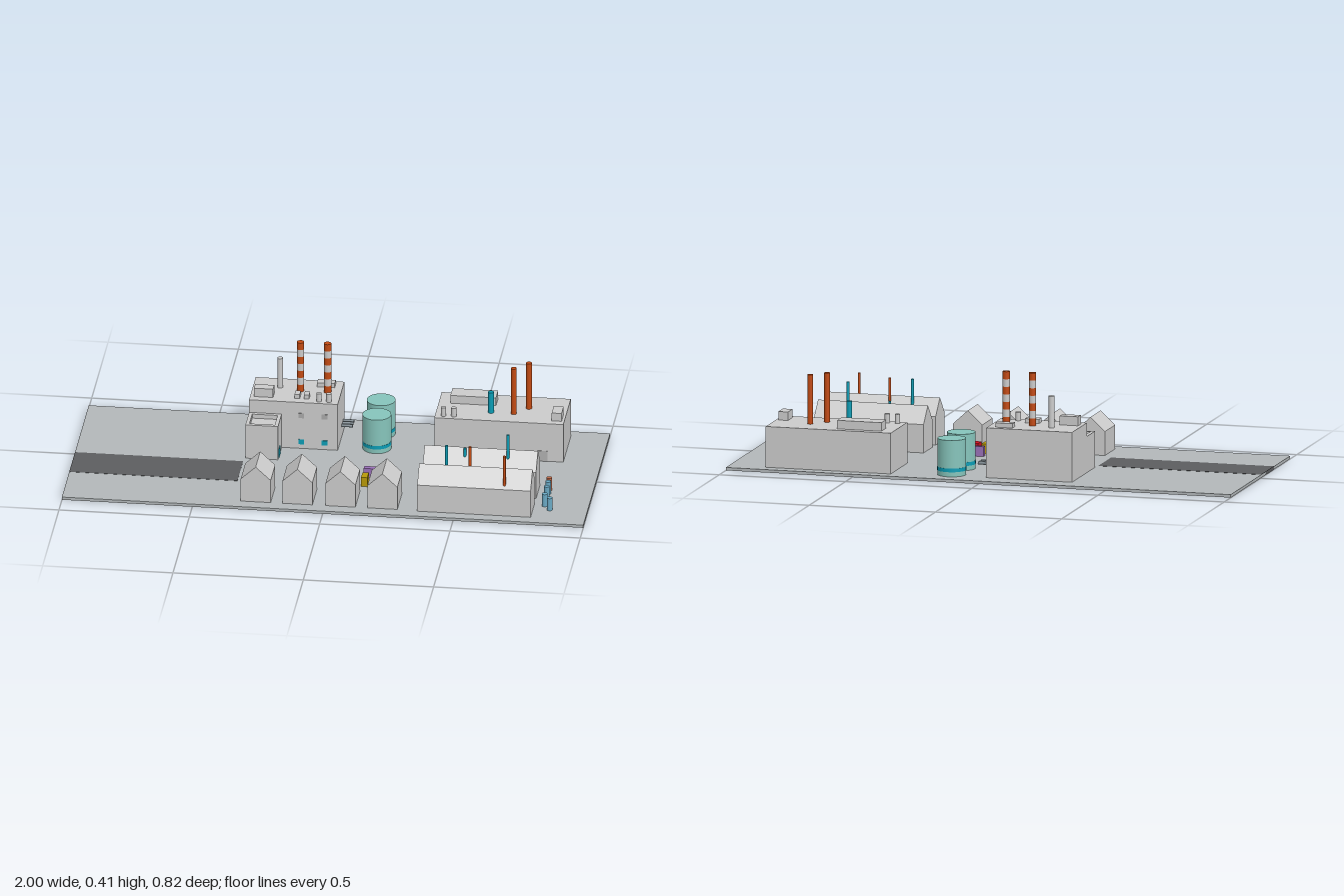
import * as THREE from 'three';

const GREY = 0xcccccc, TEAL = 0x0a9cb4, RUST = 0xc24a12, BLUE = 0x6aa9c4, TANK = 0x86c4bb;
const GROUND = 0.012;
const mats = new Map();
function mat(color) {
  if (!mats.has(color)) mats.set(color, new THREE.MeshStandardMaterial({ color }));
  return mats.get(color);
}

export function createModel() {
  const root = new THREE.Group();
  root.name = 'industrialSite';

  function add(name, geometry, color, x, y, z, parent = root) {
    const mesh = new THREE.Mesh(geometry, mat(color));
    mesh.name = name;
    mesh.position.set(x, y, z);
    parent.add(mesh);
    return mesh;
  }
  // box given by its limits on each axis
  function box(name, x0, x1, y0, y1, z0, z1, color = GREY, parent = root) {
    return add(name, new THREE.BoxGeometry(x1 - x0, y1 - y0, z1 - z0), color,
      (x0 + x1) / 2, (y0 + y1) / 2, (z0 + z1) / 2, parent);
  }
  // upright cylinder from y0 to y1
  function pole(name, x, z, r, y0, y1, color = GREY, parent = root) {
    return add(name, new THREE.CylinderGeometry(r, r, y1 - y0, 24), color, x, (y0 + y1) / 2, z, parent);
  }
  // pitched-roof building with its ridge along z, or along x when turned
  function gable(name, x, z, width, length, eave, ridge, turned = false) {
    const w = width / 2;
    const s = new THREE.Shape([[-w, 0], [w, 0], [w, eave - GROUND], [0, ridge - GROUND], [-w, eave - GROUND]]
      .map(p => new THREE.Vector2(...p)));
    const g = new THREE.ExtrudeGeometry(s, { depth: length, bevelEnabled: false });
    g.translate(0, 0, -length / 2);
    if (turned) g.rotateY(Math.PI / 2);
    return add(name, g, GREY, x, GROUND, z);
  }
  function group(name) {
    const g = new THREE.Group();
    g.name = name;
    root.add(g);
    return g;
  }

  // ground and road
  box('groundSlab', -1, 1, 0.0006, GROUND, -0.41, 0.41, 0xb2b7b9);
  box('road', -1, -0.355, 0, GROUND + 0.0008, 0.01, 0.185, 0x5c5d5f);

  // main plant with roof units
  const plant = group('mainPlant');
  box('plantHall', -0.35, -0.01, GROUND, 0.205, -0.335, -0.132, GREY, plant);
  box('roofHouse', -0.335, -0.262, 0.205, 0.24, -0.2, -0.163, GREY, plant);
  box('roofUnit', -0.108, -0.04, 0.205, 0.222, -0.312, -0.278, GREY, plant);
  for (const x of [-0.17, -0.134]) box('roofVentBox', x - 0.01, x + 0.01, 0.205, 0.222, -0.2, -0.165, GREY, plant);
  for (const x of [-0.085, -0.047]) pole('roofVent', x, -0.155, 0.01, 0.205, 0.238, GREY, plant);
  pole('greyChimney', -0.247, -0.26, 0.011, 0.205, 0.328, GREY, plant);
  for (const z of [-0.298, -0.276, -0.254])
    add('sidePipe', new THREE.CylinderGeometry(0.006, 0.006, 0.045, 16).rotateZ(Math.PI / 2), 0x77838a, 0.01, 0.06, z, plant);

  // striped chimneys
  for (const x of [-0.166, -0.062]) {
    const chimney = group('stripedChimney');
    const h = 0.205 / 7;
    for (let i = 0; i < 7; i++)
      pole('chimneyBand', x, -0.239, 0.014, 0.205 + i * h, 0.205 + (i + 1) * h, i % 2 ? GREY : RUST, chimney);
  }

  // wall windows
  for (const x of [-0.15, -0.06]) box('lowerWindow', x - 0.011, x + 0.011, 0.03, 0.05, -0.134, -0.13, TEAL, plant);
  for (const x of [-0.15, -0.06]) box('upperWindow', x - 0.011, x + 0.011, 0.14, 0.16, -0.134, -0.13, 0xa8a8a8, plant);

  // annex with a sunken roof
  const annex = group('annex');
  const outline = new THREE.Shape([[-0.35, 0.02], [-0.225, 0.02], [-0.225, 0.132], [-0.35, 0.132]]
    .map(p => new THREE.Vector2(...p)));
  outline.holes.push(new THREE.Path([[-0.336, 0.034], [-0.336, 0.118], [-0.239, 0.118], [-0.239, 0.034]]
    .map(p => new THREE.Vector2(...p))));
  const walls = new THREE.ExtrudeGeometry(outline, { depth: 0.152 - GROUND, bevelEnabled: false }).rotateX(-Math.PI / 2);
  add('annexWalls', walls, GREY, 0, GROUND, 0, annex).position.z = 0;
  box('annexRoof', -0.337, -0.238, 0.12, 0.135, -0.119, -0.033, GREY, annex);
  box('annexDoor', -0.227, -0.223, GROUND, 0.047, -0.076, -0.042, TEAL, annex);

  // storage tanks
  for (const z of [-0.305, -0.175]) {
    const tank = group('storageTank');
    pole('tankBody', 0.135, z, 0.055, GROUND, 0.153, TANK, tank);
    pole('tankBand', 0.135, z, 0.0558, 0.03, 0.044, TEAL, tank);
  }

  // warehouse with roof units
  const warehouse = group('warehouse');
  box('warehouseHall', 0.36, 0.855, GROUND, 0.17, -0.364, -0.135, GREY, warehouse);
  box('longRoofUnit', 0.405, 0.58, 0.17, 0.203, -0.335, -0.27, GREY, warehouse);
  box('smallRoofUnit', 0.807, 0.845, 0.17, 0.203, -0.225, -0.163, GREY, warehouse);
  box('warehouseDoor', 0.757, 0.795, GROUND, 0.055, -0.137, -0.133, 0xb0b0b0, warehouse);
  for (const x of [0.392, 0.432]) pole('roofVent', x, -0.16, 0.01, 0.17, 0.205, GREY, warehouse);
  pole('rustChimney', 0.656, -0.21, 0.011, 0.17, 0.361, RUST, warehouse);
  pole('rustChimney', 0.707, -0.264, 0.011, 0.17, 0.361, RUST, warehouse);
  pole('tealChimney', 0.568, -0.21, 0.011, 0.17, 0.256, TEAL, warehouse);

  // long sheds with thin flues
  for (const z of [0.14, 0.306]) gable('longShed', 0.575, z, 0.12, 0.435, 0.122, 0.185, true);
  const flues = [[0.46, 0.284, TEAL, 0.256], [0.55, 0.284, RUST, 0.256], [0.69, 0.351, RUST, 0.256],
    [0.68, 0.162, TEAL, 0.256], [0.515, 0.162, TEAL, 0.19]];
  for (const [x, z, color, top] of flues) pole('shedFlue', x, z, 0.0055, 0.13, top, color);

  // row of small houses
  for (const x of [-0.263, -0.103, 0.062, 0.223]) gable('smallHouse', x, 0.29, 0.115, 0.14, 0.105, 0.158);

  // drums
  for (const [x, z, color] of [[0.833, 0.113, 0xc06a48], [0.833, 0.146, BLUE], [0.833, 0.19, BLUE],
    [0.833, 0.257, BLUE], [0.856, 0.29, BLUE]]) pole('drum', x, z, 0.0108, GROUND, 0.063, color);

  // coloured containers
  for (const [x, color] of [[0.054, 0x10a850], [0.13, 0xb89a08], [0.168, 0xd01020], [0.192, 0x1070c0]])
    box('container', x - 0.012, x + 0.012, GROUND, 0.05, 0.13, 0.175, color);
  box('container', 0.118, 0.165, GROUND, 0.05, 0.072, 0.094, 0x9a70b8);

  return root;
}
